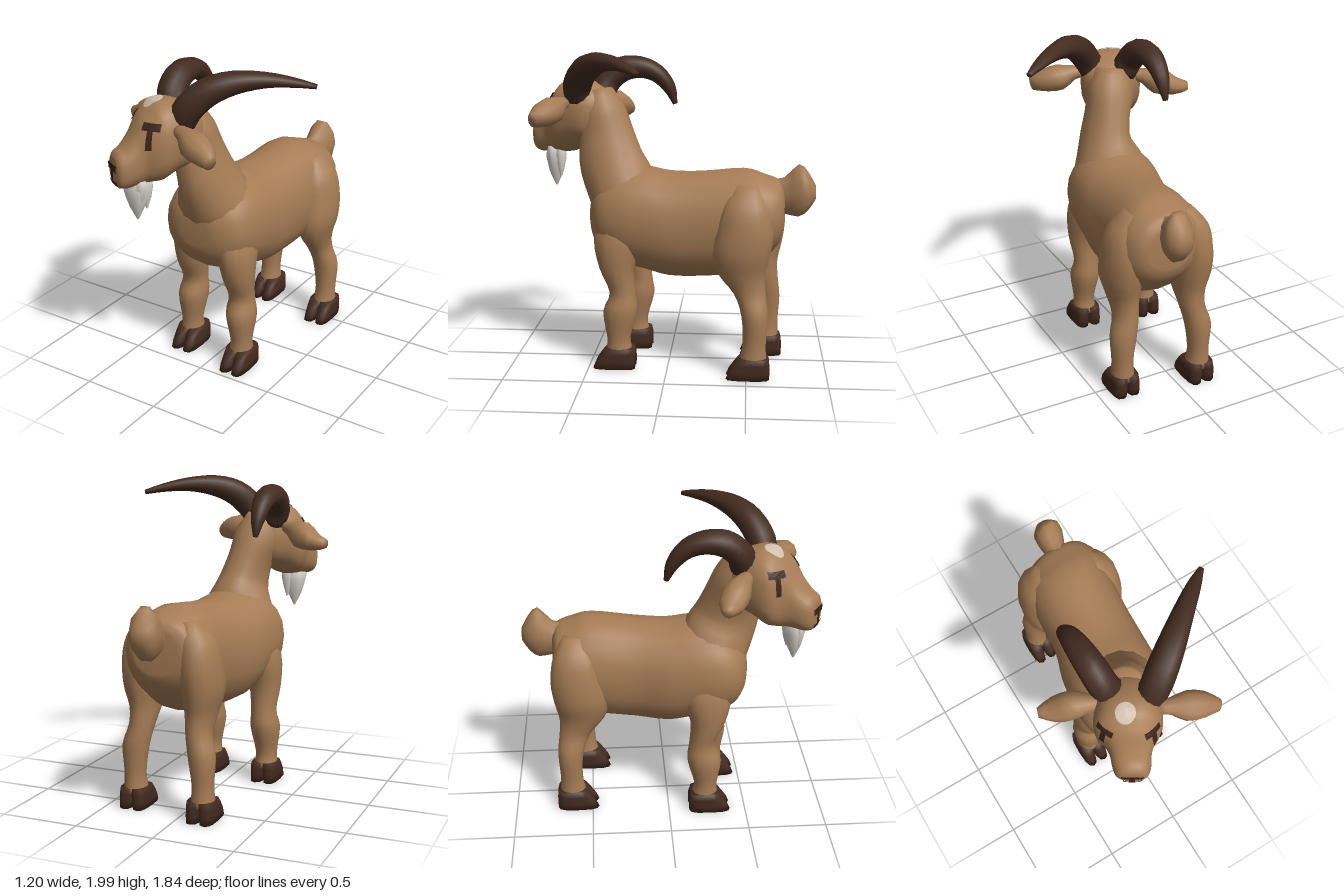
import * as THREE from 'three';

const mat = (name, color, side = THREE.FrontSide) => {
  const m = new THREE.MeshStandardMaterial({ color, side });
  m.name = name;
  return m;
};

// Smooth in-between rings; each ring is [x, y, z, half width, half depth]
function refine(rings, steps) {
  const centre = new THREE.CatmullRomCurve3(rings.map(r => new THREE.Vector3(r[0], r[1], r[2])), false, 'catmullrom');
  const size = new THREE.CatmullRomCurve3(rings.map(r => new THREE.Vector3(r[3], r[4], 0)), false, 'catmullrom');
  const n = (rings.length - 1) * steps;
  return Array.from({ length: n + 1 }, (_, i) => {
    const c = centre.getPoint(i / n), s = size.getPoint(i / n);
    return [c.x, c.y, c.z, Math.max(s.x, 0.004), Math.max(s.y, 0.004)];
  });
}

// Closed skin over rounded rings; ref is the direction of the half width, axis keeps all rings parallel
function loft(rings, { ref = [1, 0, 0], axis = null, sides = 14, steps = 3, power = 1 } = {}) {
  const rs = refine(rings, steps);
  const pos = [], index = [];
  const at = i => new THREE.Vector3(...rs[Math.min(Math.max(i, 0), rs.length - 1)].slice(0, 3));
  const round = v => Math.sign(v) * Math.abs(v) ** power;
  rs.forEach((r, i) => {
    const T = axis ? new THREE.Vector3(...axis) : at(i + 1).sub(at(i - 1)).normalize();
    const S = new THREE.Vector3(...ref);
    S.addScaledVector(T, -S.dot(T)).normalize();
    const U = T.clone().cross(S);
    for (let j = 0; j < sides; j++) {
      const a = j / sides * Math.PI * 2;
      const p = at(i).addScaledVector(S, r[3] * round(Math.cos(a))).addScaledVector(U, r[4] * round(Math.sin(a)));
      pos.push(p.x, p.y, p.z);
    }
  });
  for (let i = 0; i < rs.length - 1; i++) {
    for (let j = 0; j < sides; j++) {
      const k = (j + 1) % sides, a = i * sides, b = a + sides;
      index.push(a + j, a + k, b + k, a + j, b + k, b + j);
    }
  }
  const last = (rs.length - 1) * sides, first = rs.length * sides;
  pos.push(...at(0).toArray(), ...at(rs.length).toArray());
  for (let j = 0; j < sides; j++) {
    const k = (j + 1) % sides;
    index.push(first, k, j, first + 1, last + j, last + k);
  }
  const g = new THREE.BufferGeometry();
  g.setAttribute('position', new THREE.Float32BufferAttribute(pos, 3));
  g.setIndex(index);
  g.computeVertexNormals();
  return g;
}

export function createModel() {
  const coat = mat('tan coat', 0xa67c55);
  const horn = mat('dark brown horn', 0x432b20);
  const hoofMat = mat('hoof brown', 0x432a20);
  const beardMat = mat('white hair', 0xdcd6d0);
  const spotMat = mat('pale forehead', 0xd0bfae, THREE.DoubleSide);
  const mark = mat('face marking brown', 0x3c2318, THREE.DoubleSide);

  const model = new THREE.Group();
  model.name = 'goat';
  const add = (name, geo, material, parent = model) => {
    const m = new THREE.Mesh(geo, material);
    m.name = name;
    parent.add(m);
    return m;
  };

  // Trunk, from rump to chest
  add('body', loft([
    [0.1, 1.02, -0.722, 0.14, 0.13], [0.095, 1.01, -0.69, 0.21, 0.2], [0.09, 0.98, -0.6, 0.265, 0.265],
    [0.075, 0.95, -0.47, 0.275, 0.33], [0.055, 0.92, -0.2, 0.27, 0.335], [0.02, 0.915, 0, 0.295, 0.335],
    [0, 0.945, 0.15, 0.302, 0.33], [-0.015, 0.96, 0.3, 0.3, 0.31], [-0.022, 0.96, 0.42, 0.262, 0.24],
    [-0.025, 0.96, 0.48, 0.18, 0.16], [-0.025, 0.96, 0.502, 0.1, 0.09],
  ], { axis: [0, 0, 1], sides: 20, power: 0.9 }), coat);

  // Neck, rising out of the shoulders
  add('neck', loft([
    [-0.01, 0.92, 0.25, 0.25, 0.19], [-0.012, 1.12, 0.3, 0.24, 0.225], [-0.015, 1.29, 0.37, 0.163, 0.21],
    [-0.05, 1.45, 0.405, 0.142, 0.18], [-0.09, 1.6, 0.435, 0.15, 0.15], [-0.12, 1.73, 0.47, 0.11, 0.1],
  ], { sides: 16 }), coat);

  // Short upturned tail
  add('tail', loft([
    [0.1, 1.11, -0.62, 0.06, 0.11], [0.11, 1.115, -0.72, 0.07, 0.115], [0.12, 1.15, -0.81, 0.095, 0.168],
    [0.12, 1.145, -0.87, 0.083, 0.12], [0.12, 1.14, -0.915, 0.04, 0.045],
  ], { axis: [0, 0, -1], sides: 10, steps: 2 }), coat);

  // Legs: [half spacing, height, depth, half width, half depth], each side of a middle point
  const frontLeg = [
    [0.16, 1.06, 0.25, 0.06, 0.09], [0.185, 0.85, 0.275, 0.112, 0.155], [0.197, 0.65, 0.285, 0.102, 0.112],
    [0.2, 0.49, 0.25, 0.083, 0.083], [0.207, 0.37, 0.265, 0.096, 0.11], [0.213, 0.2, 0.275, 0.07, 0.075],
    [0.212, 0.1, 0.27, 0.077, 0.088],
  ];
  const hindLeg = [
    [0.15, 1.2, -0.54, 0.05, 0.07], [0.19, 1.08, -0.53, 0.11, 0.145], [0.21, 0.93, -0.525, 0.123, 0.175],
    [0.213, 0.78, -0.505, 0.122, 0.178], [0.205, 0.65, -0.51, 0.095, 0.145], [0.208, 0.53, -0.56, 0.078, 0.1],
    [0.238, 0.4, -0.59, 0.084, 0.083], [0.245, 0.22, -0.59, 0.066, 0.073], [0.242, 0.1, -0.583, 0.077, 0.088],
  ];
  const hoofAt = (name, x, z) => {
    const hoof = new THREE.Group();
    hoof.name = name;
    hoof.position.set(x, 0, z);
    model.add(hoof);
    for (const s of [-1, 1]) {
      add('toe', loft([
        [s * 0.038, 0.135, -0.005, 0.046, 0.09], [s * 0.041, 0.1, 0.005, 0.048, 0.108],
        [s * 0.043, 0.05, 0.022, 0.047, 0.126], [s * 0.044, 0.005, 0.032, 0.044, 0.134],
      ], { axis: [0, -1, 0], sides: 12, steps: 1, power: 0.7 }), hoofMat, hoof);
    }
  };
  for (const [s, label] of [[1, 'left'], [-1, 'right']]) {
    for (const [part, rings, mid, lead] of [['Front', frontLeg, -0.023, 0.035], ['Hind', hindLeg, 0.09, 0.042]]) {
      const path = rings.map(([x, y, z, a, b]) => [mid + s * x, y, z + s * lead, a, b]);
      const end = path[path.length - 1];
      add(label + part + 'Leg', loft(path, { axis: [0, -1, 0] }), coat);
      hoofAt(label + part + 'Hoof', end[0], end[2]);
    }
  }

  // Head, turned towards its right
  const head = new THREE.Group();
  head.name = 'head';
  head.position.set(-0.145, 0, 0.56);
  head.rotation.y = -0.56;
  model.add(head);
  const skull = [
    [0, 1.61, -0.19, 0.09, 0.09], [0, 1.595, -0.11, 0.165, 0.175], [0, 1.6, 0, 0.192, 0.215],
    [0, 1.575, 0.09, 0.198, 0.235], [0, 1.553, 0.145, 0.182, 0.217], [0.01, 1.528, 0.195, 0.14, 0.195],
    [0.018, 1.49, 0.24, 0.12, 0.16], [0.025, 1.45, 0.3, 0.112, 0.126], [0.028, 1.44, 0.345, 0.095, 0.108],
    [0.028, 1.44, 0.365, 0.065, 0.075],
  ];
  add('skull', loft(skull, { axis: [0, 0, 1], sides: 24, power: 0.8 }), coat, head);

  // Painted marks: flat shapes moved along dir until they rest on the skull
  const dense = refine(skull, 12);
  const inside = p => {
    if (p.z > 0.365) return false;
    const r = dense.find(q => q[2] >= p.z) || dense[dense.length - 1];
    return Math.abs((p.x - r[0]) / r[3]) ** 2.5 + Math.abs((p.y - r[1]) / r[4]) ** 2.5 < 1;
  };
  const paint = (name, geo, material, dir) => {
    const P = geo.attributes.position, d = new THREE.Vector3(...dir);
    for (let i = 0; i < P.count; i++) {
      const p = new THREE.Vector3().fromBufferAttribute(P, i);
      for (let k = 0; k < 400 && !inside(p); k++) p.addScaledVector(d, 0.002);
      p.addScaledVector(d, -0.008);
      P.setXYZ(i, p.x, p.y, p.z);
    }
    geo.computeVertexNormals();
    add(name, geo, material, head);
  };
  for (const s of [-1, 1]) {
    const plate = (w, h, y) => new THREE.PlaneGeometry(w, h, 8, 8).rotateY(s * 0.56).translate(s * 0.3, y, 0.425);
    paint('brow', plate(0.11, 0.042, 1.702), mark, [-s * 0.53, 0, -0.85]);
    paint('eye', plate(0.034, 0.115, 1.63), mark, [-s * 0.53, 0, -0.85]);
  }
  paint('foreheadSpot', new THREE.RingGeometry(0.001, 0.058, 16, 5).rotateX(-Math.PI / 2).translate(-0.02, 2.1, 0.088), spotMat, [0, -1, 0]);
  const front = (w, h, x, y) => new THREE.PlaneGeometry(w, h, 10, 6).translate(x, y, 0.6);
  paint('nose', front(0.13, 0.042, 0.028, 1.462), mark, [0, 0, -1]);
  paint('noseLine', front(0.034, 0.08, 0.028, 1.41), mark, [0, 0, -1]);
  paint('mouth', front(0.11, 0.03, 0.033, 1.367), mark, [0, 0, -1]);

  // Ears
  add('leftEar', loft([
    [-0.01, 1.67, 0.66, 0.04, 0.035], [0.06, 1.665, 0.69, 0.055, 0.048], [0.14, 1.635, 0.725, 0.09, 0.085],
    [0.23, 1.615, 0.765, 0.08, 0.075], [0.31, 1.59, 0.81, 0.035, 0.045],
  ], { ref: [0, 0, 1], sides: 10, steps: 2 }), coat);
  add('rightEar', loft([
    [-0.26, 1.67, 0.47, 0.04, 0.035], [-0.33, 1.66, 0.43, 0.055, 0.05], [-0.41, 1.63, 0.385, 0.085, 0.09],
    [-0.51, 1.59, 0.34, 0.075, 0.06], [-0.595, 1.585, 0.31, 0.03, 0.03],
  ], { ref: [0, 0, 1], sides: 10, steps: 2 }), coat);

  // Curved horns
  add('leftHorn', loft([
    [-0.035, 1.7, 0.585, 0.085, 0.085], [0.01, 1.785, 0.58, 0.09, 0.09], [0.1, 1.88, 0.52, 0.09, 0.085],
    [0.22, 1.93, 0.43, 0.078, 0.068], [0.36, 1.94, 0.32, 0.06, 0.045], [0.49, 1.92, 0.22, 0.042, 0.028],
    [0.59, 1.893, 0.145, 0.017, 0.015],
  ], { ref: [0.6, 0, 0.8], sides: 12 }), horn);
  add('rightHorn', loft([
    [-0.19, 1.7, 0.45, 0.085, 0.085], [-0.225, 1.79, 0.42, 0.09, 0.085], [-0.24, 1.865, 0.33, 0.088, 0.082],
    [-0.245, 1.88, 0.21, 0.08, 0.07], [-0.245, 1.84, 0.1, 0.065, 0.058], [-0.245, 1.75, 0.02, 0.045, 0.042],
    [-0.245, 1.645, -0.018, 0.016, 0.015],
  ], { sides: 12 }), horn);

  // Beard: one broad tuft and shorter ones around it
  for (const [x, z, len, r] of [[-0.24, 0.768, 0.255, 0.078], [-0.2, 0.73, 0.19, 0.042], [-0.275, 0.79, 0.17, 0.042], [-0.2, 0.785, 0.15, 0.042]]) {
    add('beardTuft', loft([
      [x, 1.37, z, r * 0.95, r * 0.8], [x, 1.36 - len * 0.3, z, r, r * 0.85],
      [x, 1.36 - len * 0.65, z, r * 0.65, r * 0.6], [x, 1.36 - len, z, 0.006, 0.006],
    ], { sides: 8, steps: 1 }), beardMat);
  }
  return model;
}
